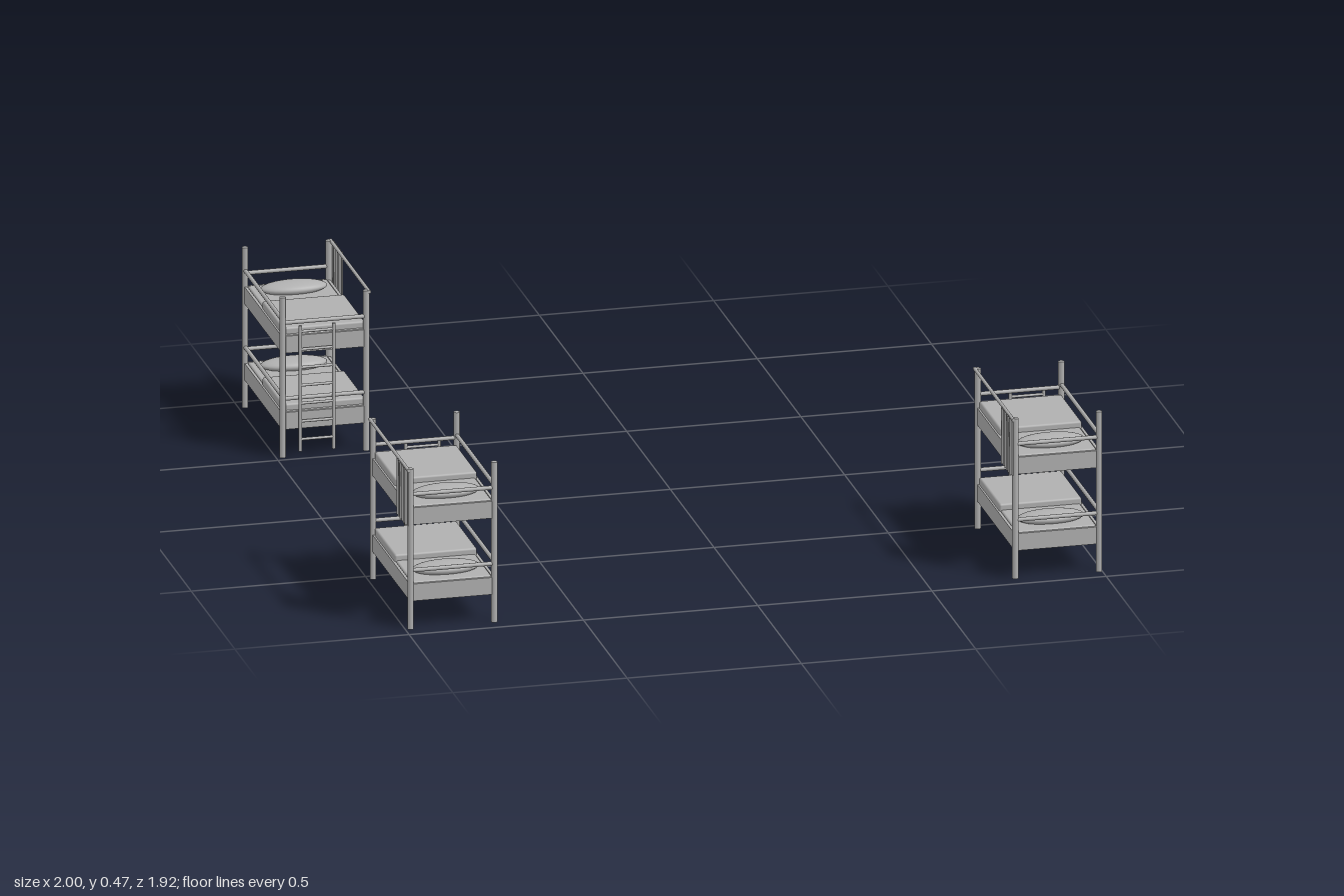
import * as THREE from 'three';
import { RoundedBoxGeometry } from 'three/addons/geometries/RoundedBoxGeometry.js';

export function createModel() {
  const model = new THREE.Group();
  model.name = 'bunkBeds';
  const grey = new THREE.MeshStandardMaterial({ color: 0xb0b0b0 });
  grey.name = 'plain grey';
  const cloth = grey.clone();
  cloth.name = 'plain grey cloth';
  cloth.side = THREE.DoubleSide;

  const HX = 0.12, HZ = 0.215; // post centres

  function add(parent, name, geometry, x, y, z, material = grey) {
    const mesh = new THREE.Mesh(geometry, material);
    mesh.name = name;
    mesh.position.set(x, y, z);
    parent.add(mesh);
    return mesh;
  }

  // Round bar centred on a point, running along one axis
  function bar(parent, name, axis, length, radius, x, y, z) {
    const g = new THREE.CylinderGeometry(radius, radius, length, 12);
    if (axis === 'x') g.rotateZ(Math.PI / 2);
    if (axis === 'z') g.rotateX(Math.PI / 2);
    return add(parent, name, g, x, y, z);
  }

  // One bunk: tray, mattress, blanket over the foot half, pillow
  function bunk(parent, name, y) {
    const g = new THREE.Group();
    g.name = name;
    g.position.y = y;
    parent.add(g);
    add(g, 'bedBase', new THREE.BoxGeometry(0.242, 0.02, 0.432), 0, 0.01, 0);
    for (const s of [-1, 1]) {
      add(g, 'sideBoard', new THREE.BoxGeometry(0.008, 0.05, 0.414), s * 0.119, 0.025, 0);
      add(g, 'endBoard', new THREE.BoxGeometry(0.224, 0.05, 0.008), 0, 0.025, s * HZ);
    }
    add(g, 'mattress', new RoundedBoxGeometry(0.228, 0.045, 0.42, 2, 0.006), 0, 0.031, 0);
    add(g, 'blanket', new RoundedBoxGeometry(0.236, 0.05, 0.235, 2, 0.006), 0, 0.046, -0.09);
    const pillow = add(g, 'pillow', new THREE.SphereGeometry(1, 28, 16), 0, 0.064, 0.138);
    pillow.scale.set(0.096, 0.019, 0.042);
  }

  // Gathered curtain: a pleated sheet
  function curtain(parent) {
    const g = new THREE.PlaneGeometry(0.11, 0.165, 48, 1);
    const p = g.attributes.position;
    for (let i = 0; i < p.count; i++) {
      p.setZ(i, 0.005 * Math.sin((p.getX(i) / 0.11) * Math.PI * 12));
    }
    g.rotateY(-Math.PI / 2);
    g.computeVertexNormals();
    add(parent, 'curtain', g, -0.131, 0.388, 0.168, cloth);
  }

  function bed(x, z, turn) {
    const g = new THREE.Group();
    g.name = 'bunkBed';
    g.position.set(x, 0, z);
    g.rotation.y = turn;
    model.add(g);

    // Corner posts and end rails
    for (const sz of [-1, 1]) {
      for (const sx of [-1, 1]) bar(g, 'post', 'y', 0.472, 0.009, sx * HX, 0.236, sz * HZ);
      for (const y of [0.172, 0.396]) bar(g, 'endRail', 'x', HX * 2, 0.006, 0, y, sz * HZ);
    }
    // Guard rails on one side, curtain rod on the other
    for (const y of [0.178, 0.404]) bar(g, 'guardRail', 'z', HZ * 2, 0.006, HX, y, 0);
    bar(g, 'curtainRod', 'z', HZ * 2 + 0.016, 0.005, -0.127, 0.469, 0);
    curtain(g);

    bunk(g, 'lowerBunk', 0.082);
    bunk(g, 'upperBunk', 0.307);

    // Ladder at the foot
    const ladder = new THREE.Group();
    ladder.name = 'ladder';
    ladder.position.set(0.026, 0, -0.233);
    g.add(ladder);
    for (const s of [-1, 1]) bar(ladder, 'ladderRail', 'y', 0.37, 0.005, s * 0.048, 0.205, 0);
    for (let i = 0; i < 7; i++) bar(ladder, 'rung', 'x', 0.096, 0.004, 0, 0.055 + i * 0.053, 0);
  }

  bed(-0.864, 0.737, 0);
  bed(0.871, 0.737, 0);
  bed(-0.861, -0.739, Math.PI);
  return model;
}
